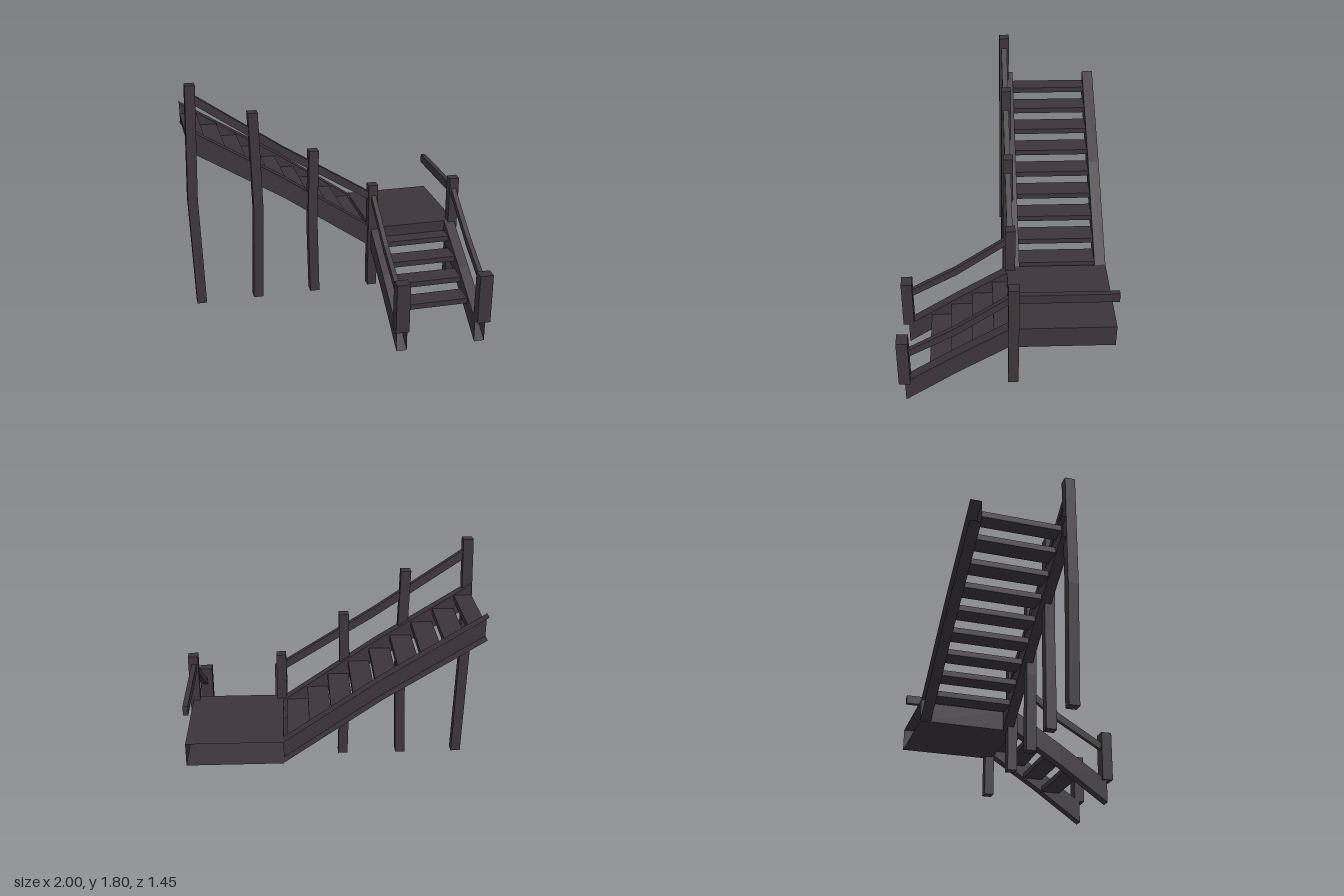
import * as THREE from 'three';

const wood = new THREE.MeshStandardMaterial({ color: 0x3c343a, side: THREE.DoubleSide, flatShading: true });
wood.name = 'dark wood';

// Beam along x or z. stations: [position, yBottom, yTop]; w0..w1 is the span across.
// open lists faces left out: 'low' / 'high' sides, 'start' / 'end' caps.
function beam(axis, stations, w0, w1, open = []) {
  const pos = [];
  const P = (u, y, w) => axis === 'x' ? new THREE.Vector3(u, y, w) : new THREE.Vector3(w, y, u);
  const quad = (a, b, c, d, centre) => {
    const n = b.clone().sub(a).cross(c.clone().sub(a));
    const out = a.clone().add(c).multiplyScalar(0.5).sub(centre);
    const q = n.dot(out) < 0 ? [a, d, c, b] : [a, b, c, d];
    for (const i of [0, 1, 2, 0, 2, 3]) pos.push(q[i].x, q[i].y, q[i].z);
  };
  const ring = ([u, y0, y1]) => [P(u, y0, w0), P(u, y0, w1), P(u, y1, w1), P(u, y1, w0)];
  const sides = ['bottom', 'high', 'top', 'low'];
  const last = stations.length - 2;
  for (let i = 0; i <= last; i++) {
    const a = ring(stations[i]), b = ring(stations[i + 1]);
    const centre = [...a, ...b].reduce((s, v) => s.add(v), new THREE.Vector3()).multiplyScalar(1 / 8);
    sides.forEach((side, k) => {
      const m = (k + 1) % 4;
      if (!open.includes(side)) quad(a[k], a[m], b[m], b[k], centre);
    });
    if (i === 0 && !open.includes('start')) quad(...a, centre);
    if (i === last && !open.includes('end')) quad(...b, centre);
  }
  const g = new THREE.BufferGeometry();
  g.setAttribute('position', new THREE.Float32BufferAttribute(pos, 3));
  g.computeVertexNormals();
  return g;
}

// Box given by its limits, optionally bowed sideways at mid height
function box(x0, x1, y0, y1, z0, z1, bow = 0) {
  const g = new THREE.BoxGeometry(x1 - x0, y1 - y0, z1 - z0, 1, bow ? 2 : 1, 1);
  const p = g.attributes.position;
  for (let i = 0; i < p.count; i++) if (bow && Math.abs(p.getY(i)) < 0.01) p.setX(i, p.getX(i) + bow);
  g.translate((x0 + x1) / 2, (y0 + y1) / 2, (z0 + z1) / 2);
  g.computeVertexNormals();
  return g;
}

export function createModel() {
  const model = new THREE.Group();
  model.name = 'staircase';
  const add = (name, geometry) => {
    const mesh = new THREE.Mesh(geometry, wood);
    mesh.name = name;
    model.add(mesh);
  };

  // Landing, open towards the wall behind it
  add('landing', beam('x', [[0.33, 0.47, 0.63], [0.975, 0.47, 0.63]], -0.725, -0.025, ['low']));

  // Upper flight
  const upper = [[-0.975, 1.335, 1.49], [-0.32, 0.93, 1.08], [0.33, 0.475, 0.63]];
  add('upperFrontStringer', beam('x', upper, -0.115, -0.04, ['start']));
  add('upperBackStringer', beam('x', upper, -0.725, -0.648, ['low', 'start', 'end']));
  for (let i = 0; i < 9; i++) {
    const right = 0.302 - i * 0.1445, top = 0.64 + i * 0.0968;
    add('upperTread', box(Math.max(right - 0.147, -0.975), right, top - 0.04, top, -0.648, -0.115));
  }
  add('upperRail', beam('x', [[-0.94, 1.675, 1.74], [-0.32, 1.25, 1.315], [0.33, 0.845, 0.905]], -0.067, -0.027));

  // Tall posts, some slightly bowed
  const posts = [
    [-0.975, 1.8, -0.024], [-0.56, 1.58, 0.02], [-0.135, 1.27, -0.012], [0.305, 0.97, 0], [0.927, 0.97, 0],
  ];
  for (const [x, top, bow] of posts) add('post', box(x, x + 0.069, 0.167, top, -0.083, -0.013, bow));

  // Lower flight
  for (const [name, s, r, p] of [['right', 0.325, 0.325, 0.305], ['left', 0.9, 0.94, 0.9]]) {
    add(name + 'LowerStringer',
      beam('z', [[0.685, 0, 0.165], [0.32, 0.255, 0.41], [-0.025, 0.475, 0.63]], s, s + 0.075, ['start']));
    add(name + 'LowerRail',
      beam('z', [[0.66, 0.395, 0.45], [0.33, 0.585, 0.645], [-0.025, 0.845, 0.9]], r, r + 0.034));
    add(name + 'NewelPost', box(p, p + 0.096, 0.167, 0.535, 0.647, 0.725));
  }
  for (let i = 0; i < 4; i++) {
    const front = 0.515 - i * 0.145, top = 0.257 + i * 0.0975;
    add('lowerTread', box(0.4, 0.9, top - 0.04, top, Math.max(front - 0.147, -0.025), front));
  }

  // Level rail along the outer edge of the landing
  add('landingRail', box(0.94, 0.974, 0.845, 0.91, -0.725, -0.07));

  return model;
}
